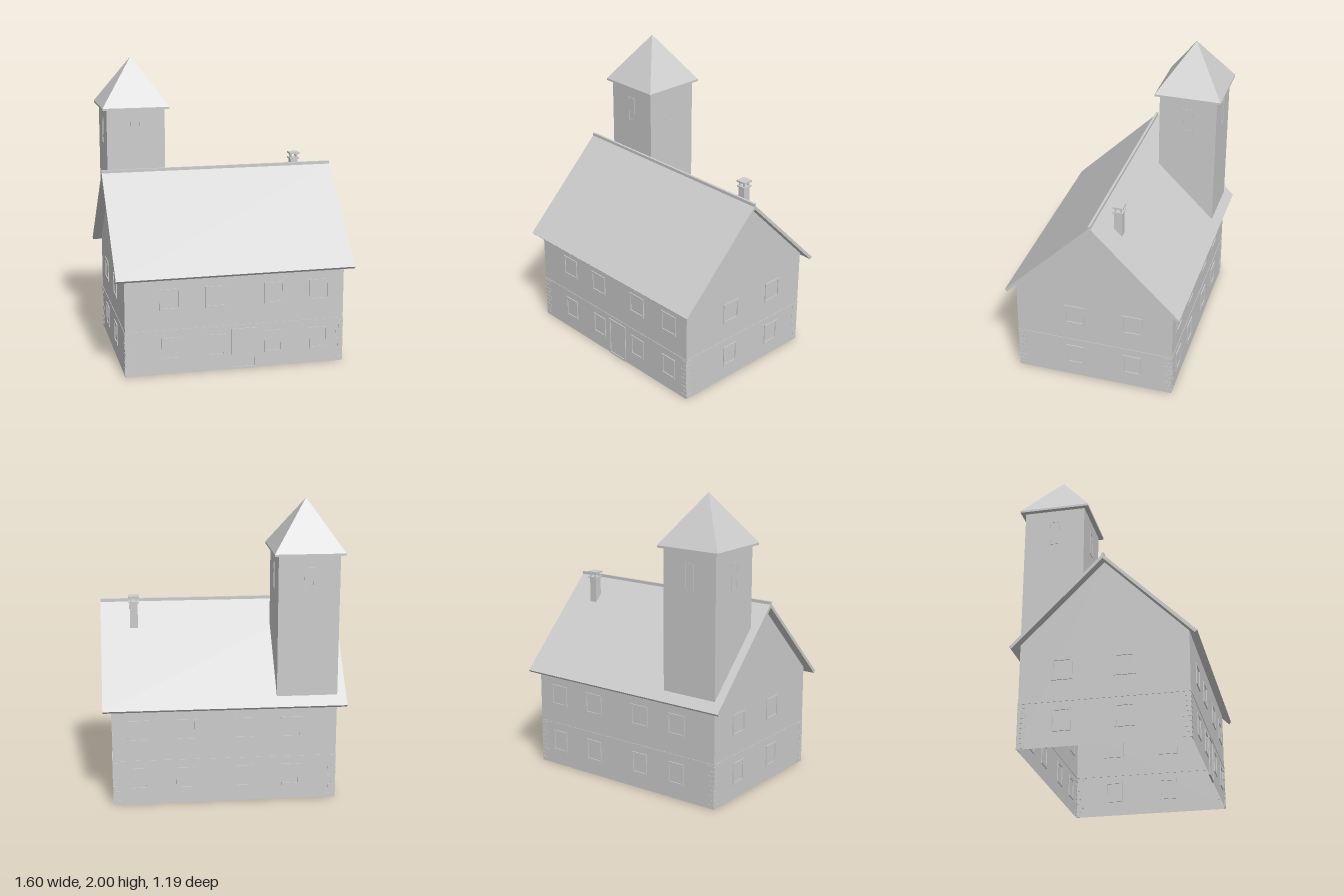
import * as THREE from 'three';

export function createModel() {
  const root = new THREE.Group();
  root.name = 'towerHouse';
  const plaster = new THREE.MeshStandardMaterial({ color: 0xcccccc, side: THREE.DoubleSide });
  plaster.name = 'lightGrey';

  const add = (name, geo, x = 0, y = 0, z = 0, parent = root) => {
    const m = new THREE.Mesh(geo, plaster);
    m.name = name;
    m.position.set(x, y, z);
    parent.add(m);
    return m;
  };
  const box = (name, w, h, d, x, y, z, parent) =>
    add(name, new THREE.BoxGeometry(w, h, d), x, y, z, parent);
  const outline = (pts) => new THREE.Shape(pts.map(([x, y]) => new THREE.Vector2(x, y)));

  const HX = 0.74, HZ = 0.54, EAVE = 0.695, PEAK = 1.235, FLOOR = 0.3;

  // Thin rectangular frame, centred on the wall plane
  const frame = (name, w, h, border, parent, x, y) => {
    const s = outline([[-w / 2, -h / 2], [w / 2, -h / 2], [w / 2, h / 2], [-w / 2, h / 2]]);
    const a = w / 2 - border, b = h / 2 - border;
    s.holes.push(outline([[-a, -b], [-a, b], [a, b], [a, -b]]));
    const g = new THREE.ExtrudeGeometry(s, { depth: 0.012, bevelEnabled: false });
    g.translate(0, 0, -0.006);
    return add(name, g, x, y, 0, parent);
  };

  // Four walls, each built facing +z in its own group; open below
  const longRow = [-0.44, -0.135, 0.26, 0.57], shortRow = [-0.135, 0.265];
  const walls = [
    ['frontWall', HX, HZ, 0, longRow],
    ['backWall', HX, HZ, Math.PI, longRow.map((x) => -x)],
    ['leftWall', HZ, HX, Math.PI / 2, shortRow],
    ['rightWall', HZ, HX, -Math.PI / 2, shortRow.map((x) => -x)],
  ];
  for (const [name, half, dist, turn, row] of walls) {
    const wall = new THREE.Group();
    wall.name = name;
    wall.rotation.y = turn;
    wall.position.set(Math.sin(turn) * dist, 0, Math.cos(turn) * dist);
    root.add(wall);
    const pts = [[-half, 0], [half, 0], [half, EAVE]];
    if (half === HZ) pts.push([0, PEAK]);
    pts.push([-half, EAVE]);
    add('wallPanel', new THREE.ShapeGeometry(outline(pts)), 0, 0, 0, wall);

    // Windows on both storeys
    for (const x of row) {
      frame('upperWindowFrame', 0.14, 0.145, 0.014, wall, x, 0.51);
      frame('lowerWindowFrame', 0.125, 0.15, 0.014, wall, x, 0.175);
    }
    if (name === 'frontWall') frame('doorFrame', 0.17, 0.28, 0.014, wall, 0.055, 0.14);

    // Storey band
    box('storeyBand', half * 2, 0.012, 0.006, 0, FLOOR, 0, wall);

    // Corner stones, alternately long and short
    for (const side of [-1, 1]) {
      for (let i = 0; i < 9; i++) {
        const w = i % 2 ? 0.03 : 0.05;
        box('cornerStone', w, 0.026, 0.005, side * (half - w / 2), 0.017 + i * 0.0325, 0, wall);
      }
    }
  }

  // Gable roof: one slab profile with a hollow underside, drawn along x
  const roof = new THREE.ExtrudeGeometry(outline([
    [-0.597, 0.668], [-0.582, 0.653], [0, PEAK], [0.582, 0.653], [0.597, 0.668], [0, 1.263],
  ]), { depth: 1.6, bevelEnabled: false });
  roof.translate(0, 0, -0.8);
  add('mainRoof', roof).rotation.y = Math.PI / 2;
  box('ridgeCap', 1.6, 0.03, 0.016, 0, 1.26, 0);

  // Tower standing on the back corner
  const tower = new THREE.Group();
  tower.name = 'tower';
  tower.position.set(-0.54, 0, -0.34);
  root.add(tower);
  for (let i = 0; i < 4; i++) {
    const side = new THREE.Group();
    side.name = 'towerSide';
    side.rotation.y = i * Math.PI / 2;
    tower.add(side);
    add('towerWall', new THREE.PlaneGeometry(0.4, 0.965), 0, 1.1775, 0.2, side);
    frame('towerWindowFrame', 0.07, 0.17, 0.008, side, 0, 1.495).position.z = 0.197;
  }
  box('towerEave', 0.46, 0.014, 0.46, 0, 1.667, 0, tower);
  const spire = new THREE.ConeGeometry(0.23 * Math.SQRT2, 0.326, 4, 1).toNonIndexed();
  spire.rotateY(Math.PI / 4);
  spire.computeVertexNormals();
  add('towerRoof', spire, 0, 1.837, 0, tower);

  // Chimney with a raised cap
  const chimney = new THREE.Group();
  chimney.name = 'chimney';
  chimney.position.set(0.578, 0, -0.13);
  root.add(chimney);
  box('chimneyShaft', 0.052, 0.21, 0.052, 0, 1.175, 0, chimney);
  box('chimneyLip', 0.068, 0.01, 0.068, 0, 1.283, 0, chimney);
  for (const x of [-1, 1]) for (const z of [-1, 1])
    box('capPost', 0.01, 0.026, 0.01, x * 0.019, 1.301, z * 0.019, chimney);
  box('chimneyCap', 0.07, 0.012, 0.07, 0, 1.319, 0, chimney);

  return root;
}
